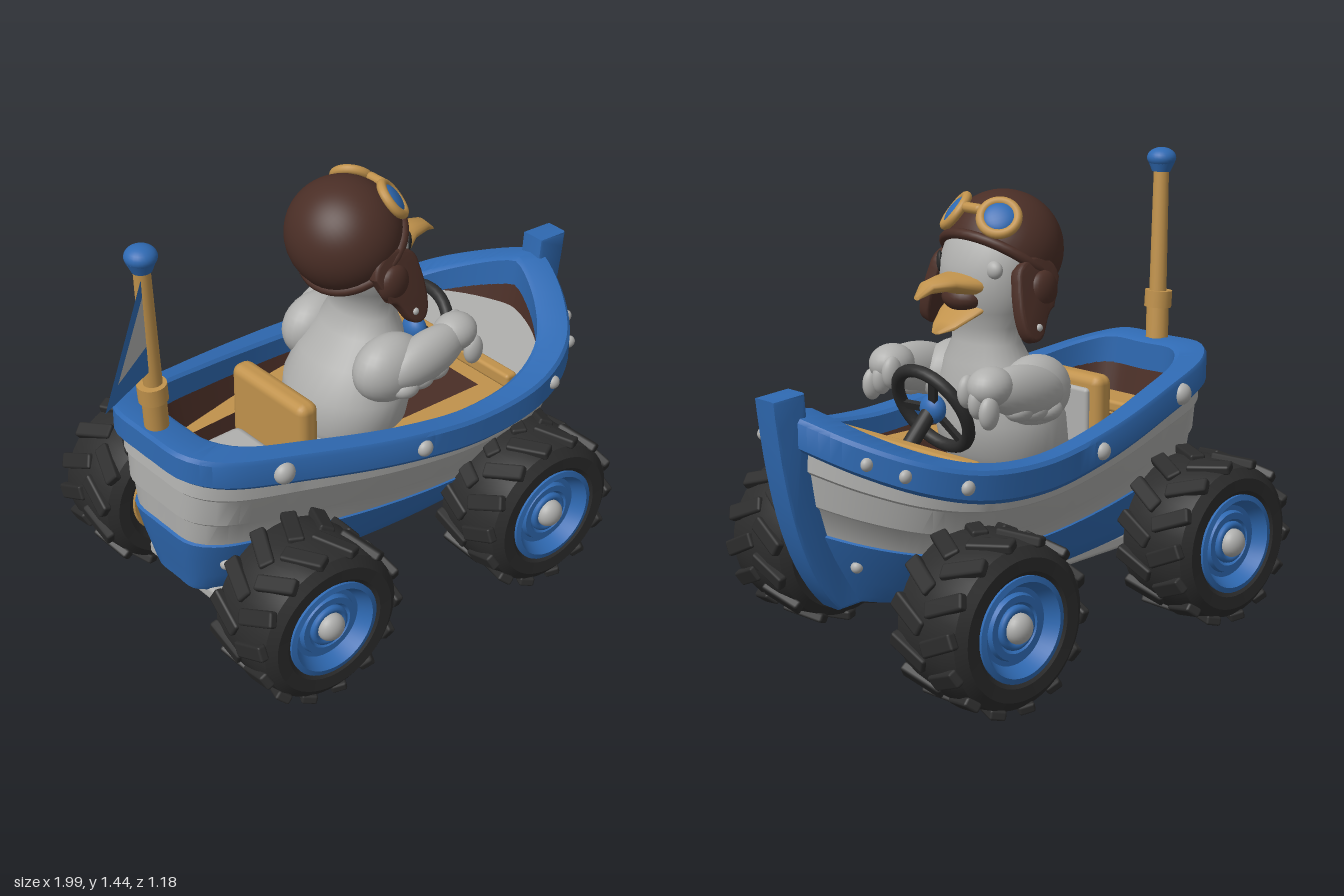
import * as THREE from 'three';
import { toCreasedNormals } from 'three/addons/utils/BufferGeometryUtils.js';
import { RoundedBoxGeometry } from 'three/addons/geometries/RoundedBoxGeometry.js';

const mat = (name, color, extra = {}) => Object.assign(new THREE.MeshStandardMaterial({ color, ...extra }), { name });
const V = (x, y, z) => new THREE.Vector3(x, y, z);

export function createModel() {
  const model = new THREE.Group();
  const blue = mat('blue paint', 0x2f6ab3), grey = mat('pale grey', 0xb0b0ae), tan = mat('tan wood', 0xc0924c);
  const brown = mat('brown leather', 0x4a2e26), black = mat('black rubber', 0x2c2c2c);
  const blueCloth = mat('blue cloth', 0x2f6ab3, { side: THREE.DoubleSide });
  const greyCloth = mat('grey cloth', 0xb0b0ae, { side: THREE.DoubleSide });

  const add = (name, geo, m, pos = [0, 0, 0], parent = model) => {
    const mesh = new THREE.Mesh(geo, m);
    mesh.name = name;
    mesh.position.set(...pos);
    parent.add(mesh);
    return mesh;
  };
  const ball = (name, m, pos, size, parent) => {
    const b = add(name, new THREE.SphereGeometry(1, 24, 16), m, pos, parent);
    b.scale.set(...size);
    return b;
  };
  const box = (name, m, pos, size, r = 0.012) => add(name, new RoundedBoxGeometry(...size, 2, r), m, pos);
  const rod = (name, m, a, b, r1, r2 = r1) => {
    const d = b.clone().sub(a);
    const c = add(name, new THREE.CylinderGeometry(r2, r1, d.length(), 20), m, a.clone().add(b).multiplyScalar(0.5).toArray());
    c.quaternion.setFromUnitVectors(V(0, 1, 0), d.normalize());
    return c;
  };

  // Skin joining rings of points, with optional end caps
  const loft = (rings, capA = false, capB = false, crease = 0.6) => {
    const n = rings[0].length, pos = rings.flat().flatMap(p => [p.x, p.y, p.z]), idx = [];
    for (let i = 0; i < rings.length - 1; i++) for (let j = 0; j < n; j++) {
      const k = (j + 1) % n, a = i * n + j, b = i * n + k;
      idx.push(a, a + n, b, b, a + n, b + n);
    }
    const cap = (r, flip) => {
      const c = pos.length / 3, m = V(0, 0, 0);
      rings[r].forEach(p => m.addScaledVector(p, 1 / n));
      pos.push(m.x, m.y, m.z);
      for (let j = 0; j < n; j++) {
        const a = r * n + j, b = r * n + (j + 1) % n;
        idx.push(c, flip ? b : a, flip ? a : b);
      }
    };
    if (capA) cap(0, false);
    if (capB) cap(rings.length - 1, true);
    const g = new THREE.BufferGeometry();
    g.setAttribute('position', new THREE.Float32BufferAttribute(pos, 3));
    g.setIndex(idx);
    return toCreasedNormals(g, crease);
  };
  const ellipse = (n, f) => Array.from({ length: n }, (_, i) => f(Math.cos(i / n * 2 * Math.PI), Math.sin(i / n * 2 * Math.PI)));

  // Gunwale outline: stern to bow on the +z side, then mirrored back
  const half = new THREE.CatmullRomCurve3([
    [-0.70, 0.82, 0], [-0.69, 0.82, 0.17], [-0.61, 0.80, 0.25], [-0.35, 0.755, 0.325], [0, 0.70, 0.395], [0.3, 0.67, 0.42],
    [0.55, 0.69, 0.41], [0.72, 0.735, 0.34], [0.84, 0.79, 0.2], [0.91, 0.84, 0.05], [0.92, 0.85, 0],
  ].map(p => V(...p))).getSpacedPoints(56);
  const outline = [...half, ...half.slice(1, -1).reverse().map(p => V(p.x, p.y, -p.z))];
  const ring = (sx, sz, dy) => outline.map(p => V((p.x - 0.13) * sx + 0.13, p.y + dy, p.z * sz));
  const hullPoint = (p, v, out = 0) => {
    const k = 0.965 + out, x = (p.x - 0.13) * k + 0.13, w = v ** 1.7;
    return V(x + ((p.x - 0.11) * 0.82 + 0.05 - x) * w, (p.y - 0.05) * (1 - v) + 0.25 * v, p.z * k * (1 - 0.4 * v ** 1.4));
  };
  const hullRing = (v, out) => outline.map(p => hullPoint(p, v, out));
  const rim = [ring(0.99, 0.98, 0), ring(1, 1, -0.012), ring(1, 1, -0.085), ring(0.98, 0.97, -0.1), ring(0.86, 0.8, -0.1), ring(0.86, 0.8, -0.01), ring(0.88, 0.83, 0)];
  add('gunwale', loft([...rim, rim[0]]), blue);
  add('hullPlanks', loft([[0, -0.01], [0.2, 0.012], [0.22, 0], [0.4, 0.014], [0.42, 0], [0.6, 0.012]].map(a => hullRing(...a))), grey);
  add('lowerHull', loft([[0.57, 0], [0.58, 0.03], [0.72, 0.03], [0.86, 0.02], [0.96, 0.01], [1, -0.05]].map(a => hullRing(...a)), false, true), blue);
  const low = ring(0.8, 0.68, 0).map(p => V(p.x, 0.48, p.z));
  add('innerWalls', loft([low, ring(0.87, 0.81, -0.06)], true), brown);

  // Bow stem
  const stem = new THREE.Shape();
  stem.moveTo(0.89, 0.9);
  stem.lineTo(0.985, 0.895);
  stem.bezierCurveTo(0.96, 0.68, 0.92, 0.4, 0.77, 0.25);
  stem.lineTo(0.66, 0.25);
  stem.bezierCurveTo(0.8, 0.38, 0.87, 0.6, 0.89, 0.9);
  add('bowStem', toCreasedNormals(new THREE.ExtrudeGeometry(stem, { depth: 0.066, bevelSize: 0.01, bevelThickness: 0.01, bevelSegments: 2, curveSegments: 16 }), 0.6), blue, [0, 0, -0.033]);

  // Inner ledges and foredeck
  const slab = (name, m, pts, hole, y, depth) => {
    const s = new THREE.Shape(pts.map(p => new THREE.Vector2(p.x, p.z)));
    if (hole) s.holes.push(new THREE.Path(hole.map(p => new THREE.Vector2(...p))));
    add(name, new THREE.ExtrudeGeometry(s, { depth, bevelEnabled: false }).rotateX(Math.PI / 2), m, [0, y, 0]);
  };
  slab('sideBenches', tan, ring(0.82, 0.73, 0), [[-0.42, -0.17], [-0.42, 0.17], [0.46, 0.2], [0.46, -0.2]], 0.6, 0.03);
  slab('foredeck', grey, ring(0.88, 0.83, 0).filter(p => p.x > 0.5), null, 0.675, 0.04);
  box('deckEdge', tan, [0.49, 0.66, 0], [0.045, 0.05, 0.64]);
  box('rearBench', tan, [-0.49, 0.62, 0], [0.12, 0.04, 0.36]);
  box('floorChest', grey, [-0.335, 0.55, 0], [0.15, 0.1, 0.25], 0.03);
  box('seatBack', tan, [-0.215, 0.65, 0], [0.075, 0.28, 0.35], 0.03);
  box('seatPad', grey, [-0.178, 0.64, 0], [0.03, 0.22, 0.28], 0.012);
  box('seatBase', grey, [0, 0.53, 0], [0.34, 0.1, 0.3], 0.03);
  box('undertray', grey, [-0.15, 0.235, 0], [0.86, 0.05, 0.38], 0.015);

  // Rivets along the gunwale and low on the bow
  const near = x => half.reduce((a, b) => Math.abs(b.x - x) < Math.abs(a.x - x) ? b : a);
  for (const s of [1, -1]) {
    for (const [x, r] of [[-0.44, 0.035], [0.03, 0.027], [0.59, 0.022], [0.74, 0.02], [0.82, 0.02]]) {
      const p = near(x);
      ball('rivet', grey, [p.x, p.y - 0.05, s * p.z], [r, r, r * 0.8]);
    }
    for (const x of [-0.6, 0.72, 0.88]) {
      const p = hullPoint(near(x), 0.74, 0.035);
      ball('hullRivet', grey, [p.x, p.y, s * p.z], [0.018, 0.018, 0.018]);
    }
  }

  // Wheels with angled tread lugs
  const lathe = pts => toCreasedNormals(new THREE.LatheGeometry(pts.map(p => new THREE.Vector2(...p)), 48).rotateX(Math.PI / 2), 0.6);
  const tyre = lathe([[0.145, -0.12], [0.17, -0.14], [0.21, -0.142], [0.24, -0.12], [0.25, -0.07], [0.253, 0], [0.25, 0.07], [0.24, 0.12], [0.21, 0.142], [0.17, 0.14], [0.145, 0.12], [0.145, -0.12]]);
  const dish = lathe([[0.155, 0.11], [0.157, 0.138], [0.14, 0.142], [0.128, 0.12], [0.115, 0.1], [0.1, 0.1], [0.095, 0.115], [0.075, 0.115], [0.065, 0.1], [0, 0.1]]);
  const innerDisc = lathe([[0, -0.1], [0.09, -0.1], [0.1, -0.12], [0.14, -0.125], [0.15, -0.11]]);
  const lug = new RoundedBoxGeometry(0.05, 0.03, 0.14, 1, 0.008);
  for (const [x, y, z] of [[-0.44, 0.3, 0.42], [0.455, 0.295, 0.435], [-0.39, 0.293, -0.44], [0.555, 0.267, -0.44]]) {
    const w = new THREE.Group();
    w.name = 'wheel';
    w.position.set(x, y, z);
    w.rotation.y = -0.045 + (z < 0 ? Math.PI : 0);
    model.add(w);
    add('tyre', tyre, black, [0, 0, 0], w);
    add('wheelRim', dish, blue, [0, 0, 0], w);
    add('innerRim', innerDisc, tan, [0, 0, 0], w);
    for (let i = 0; i < 28; i++) {
      const a = i / 28 * Math.PI * 2, s = i % 2 ? 1 : -1;
      const l = add('treadLug', lug, black, [Math.sin(a) * 0.249, Math.cos(a) * 0.249, s * 0.066], w);
      l.rotation.set(0, s * 0.45, -a, 'ZYX');
    }
    add('hubRing', new THREE.TorusGeometry(0.055, 0.012, 10, 28), blue, [0, 0, 0.11], w);
    ball('hubCap', grey, [0, 0, 0.12], [0.045, 0.045, 0.035], w);
    add('axle', new THREE.CylinderGeometry(0.035, 0.035, 0.26, 16).rotateX(Math.PI / 2), black, [0, 0, -0.2], w);
  }

  // Flagpole and pennant
  rod('flagpole', tan, V(-0.645, 0.8, -0.01), V(-0.69, 1.38, 0.02), 0.03, 0.025);
  rod('poleSocket', tan, V(-0.647, 0.82, -0.01), V(-0.66, 0.95, 0), 0.037);
  rod('poleCollar', tan, V(-0.66, 0.92, 0), V(-0.664, 0.975, 0), 0.045);
  rod('poleCap', blue, V(-0.688, 1.365, 0.02), V(-0.69, 1.4, 0.02), 0.03, 0.045);
  ball('poleKnob', blue, [-0.69, 1.41, 0.02], [0.048, 0.034, 0.048]);
  const cloth = (name, m, pts) => {
    const f = add(name, new THREE.ShapeGeometry(new THREE.Shape(pts.map(p => new THREE.Vector2(...p)))), m, [-0.685, 0, 0.02]);
    f.rotation.y = -2.47;
  };
  cloth('flagStripe', greyCloth, [[0, 1.3], [0.28, 1.165], [0, 1.12]]);
  cloth('flagTop', blueCloth, [[0, 1.36], [0.4, 1.15], [0.28, 1.165], [0, 1.3]]);
  cloth('flagBottom', blueCloth, [[0, 1.12], [0.28, 1.165], [0.4, 1.15], [0, 1.03]]);

  // Bird body, neck and face: rows of height, centre x, x radius, z radius
  const body = [[0.5, 0.05, 0.14, 0.16], [0.6, 0.06, 0.19, 0.21], [0.7, 0.08, 0.19, 0.22], [0.8, 0.1, 0.155, 0.19], [0.88, 0.13, 0.115, 0.15], [0.94, 0.135, 0.09, 0.12],
    [0.99, 0.135, 0.09, 0.12], [1.04, 0.13, 0.115, 0.145], [1.1, 0.12, 0.14, 0.165], [1.18, 0.11, 0.15, 0.17], [1.27, 0.08, 0.14, 0.16], [1.34, 0.06, 0.06, 0.07]];
  add('birdBody', loft(body.map(([y, cx, rx, rz]) => ellipse(32, (c, s) => V(cx + rx * c, y, rz * s))), true, true, 1.2), grey);
  const bill = (name, rows) => add(name, loft(rows.map(([x, y, h, w]) => ellipse(20, (c, s) => V(x, y + h * s, w * c))), true, true, 1.2), tan);
  bill('upperBeak', [[0.2, 1.125, 0.045, 0.1], [0.25, 1.125, 0.036, 0.09], [0.31, 1.135, 0.024, 0.055], [0.38, 1.13, 0.019, 0.033], [0.42, 1.105, 0.006, 0.012]]);
  bill('lowerBeak', [[0.2, 1.065, 0.03, 0.09], [0.26, 1.035, 0.018, 0.075], [0.31, 1.005, 0.014, 0.05], [0.345, 0.99, 0.005, 0.018]]);
  ball('mouth', brown, [0.225, 1.083, 0], [0.065, 0.045, 0.075]);
  const eye = ball('openEye', black, [0.217, 1.175, 0.117], [0.01, 0.032, 0.024]);
  eye.rotation.y = -0.75;
  ball('winkingLid', grey, [0.21, 1.175, -0.11], [0.022, 0.028, 0.03]);

  // Leather helmet with brim, ear flaps and goggles
  const helmet = new THREE.Group();
  helmet.name = 'helmet';
  helmet.position.set(0.06, 1.21, 0);
  helmet.rotation.z = 0.65;
  helmet.scale.z = 1.05;
  model.add(helmet);
  add('helmetShell', new THREE.SphereGeometry(0.178, 36, 24, 0, Math.PI * 2, 0, 1.87), brown, [0, 0, 0], helmet);
  add('helmetBrim', new THREE.TorusGeometry(0.17, 0.016, 10, 40).rotateX(Math.PI / 2), brown, [0, -0.052, 0], helmet);
  const flap = new THREE.Shape();
  flap.moveTo(-0.07, 0.02);
  flap.bezierCurveTo(-0.07, 0.1, 0.08, 0.1, 0.08, 0.02);
  flap.bezierCurveTo(0.1, -0.06, 0.1, -0.15, 0.06, -0.15);
  flap.bezierCurveTo(0.02, -0.15, 0.02, -0.08, -0.03, -0.06);
  flap.lineTo(-0.07, 0.02);
  const flapGeo = toCreasedNormals(new THREE.ExtrudeGeometry(flap, { depth: 0.025, bevelSize: 0.01, bevelThickness: 0.01, bevelSegments: 3 }).translate(0, 0, -0.012), 0.6);
  for (const s of [1, -1]) {
    const f = add('earFlap', flapGeo, brown, [0.1, 1.12, s * 0.183]);
    f.rotation.x = -s * 0.26;
    ball('earPad', brown, [0.09, 1.11, s * 0.195], [0.055, 0.06, 0.03]);
    ball('flapStud', grey, [0.145, 1.01, s * 0.233], [0.012, 0.012, 0.01]);
    const g = new THREE.Group(), dir = V(0.6, 0.62, s * 0.5).normalize();
    g.name = 'goggle';
    g.position.set(0.06, 1.21, 0).addScaledVector(dir, 0.185);
    g.quaternion.setFromUnitVectors(V(0, 0, 1), dir);
    model.add(g);
    add('goggleFrame', new THREE.TorusGeometry(0.055, 0.015, 12, 32), tan, [0, 0, 0], g);
    ball('goggleLens', blue, [0, 0, 0], [0.052, 0.052, 0.02], g);

    // Wings with feather fingers gripping the wheel
    ball('shoulder', grey, [0.1, 0.8, s * 0.17], [0.13, 0.11, 0.09]);
    const arm = ball('wing', grey, [0.2, 0.825, s * 0.225], [0.16, 0.08, 0.065]);
    arm.rotation.z = 0.2;
    ball('hand', grey, [0.33, 0.86, s * 0.215], [0.075, 0.06, 0.065]);
    for (let i = 0; i < 3; i++) ball('feather', grey, [0.375, 0.845 - i * 0.025, s * (0.165 + i * 0.045)], [0.035, 0.05, 0.025]);
    for (let i = 0; i < 3; i++) ball('elbowTuft', grey, [0.11 + i * 0.06, 0.755 + i * 0.01, s * 0.235], [0.05, 0.035, 0.04]);
  }
  add('goggleBridge', new THREE.CapsuleGeometry(0.016, 0.05, 4, 10).rotateX(Math.PI / 2), tan, [0.19, 1.345, 0]);

  // Steering wheel
  const steer = add('steeringWheel', new THREE.TorusGeometry(0.14, 0.02, 12, 36), black, [0.36, 0.76, 0]);
  steer.quaternion.setFromUnitVectors(V(0, 0, 1), V(-0.9, 0.44, 0).normalize());
  for (let i = 0; i < 3; i++) {
    const a = i / 3 * Math.PI * 2;
    const spoke = add('spoke', new THREE.BoxGeometry(0.025, 0.13, 0.015), black, [-Math.sin(a) * 0.07, Math.cos(a) * 0.07, 0], steer);
    spoke.rotation.z = a;
  }
  ball('steeringHub', blue, [0.36, 0.76, 0], [0.035, 0.045, 0.045]);
  rod('steeringColumn', black, V(0.37, 0.755, 0), V(0.52, 0.6, 0), 0.025);
  return model;
}
